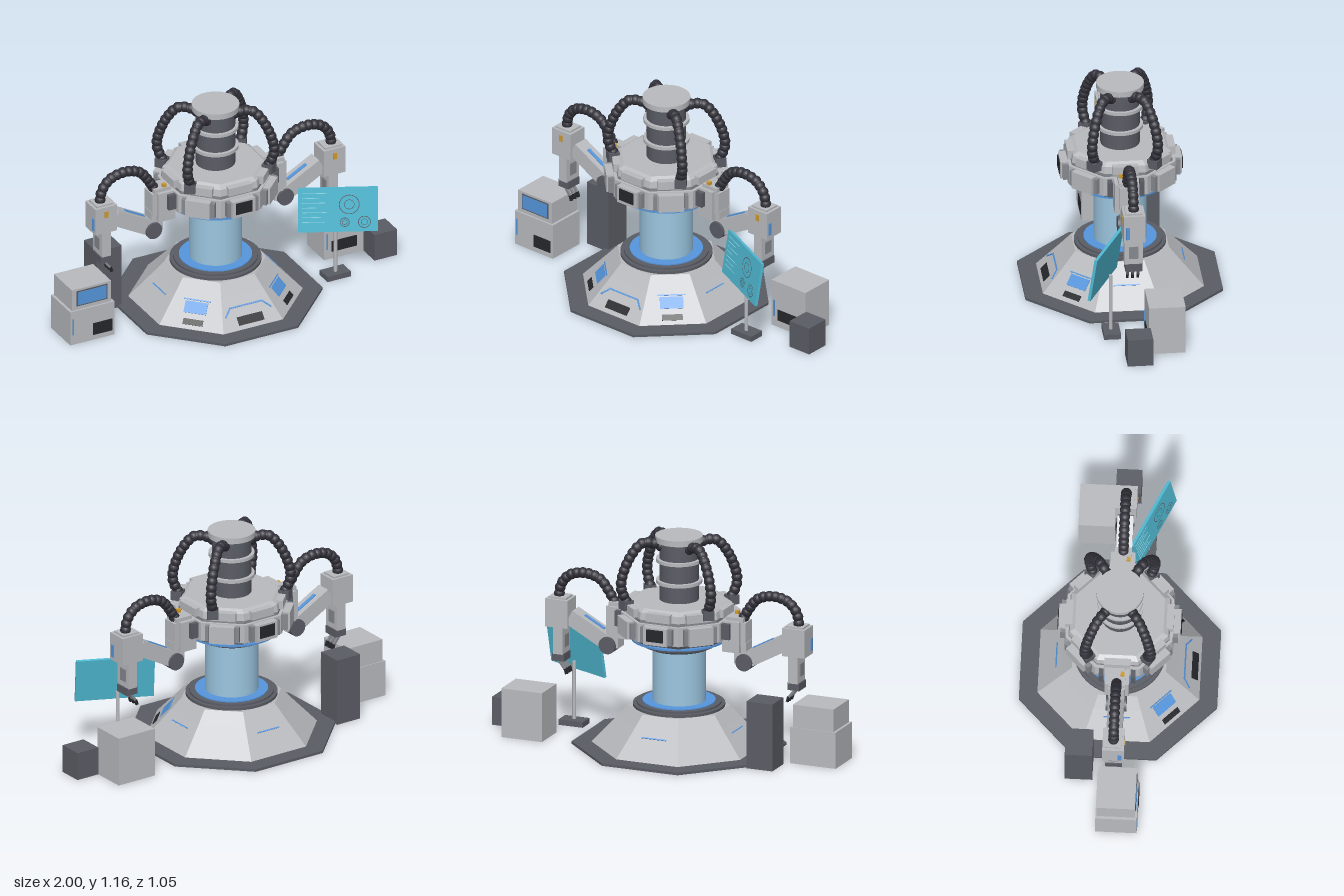
import * as THREE from 'three';

const paint = (name, color) => new THREE.MeshStandardMaterial({ name, color });

export function createModel() {
  const light = paint('light grey', 0xb8babe), mid = paint('mid grey', 0x85888e);
  const dark = paint('dark grey', 0x5a5c65), black = paint('black', 0x26272b);
  const rubber = paint('hose rubber', 0x33323b), blue = paint('blue', 0x5595dc);
  const glass = paint('pale blue', 0x9cc6e0), teal = paint('screen teal', 0x50bad4);
  const amber = paint('amber', 0xd09a28), pale = paint('screen lines', 0x8fdcea);

  const root = new THREE.Group();
  root.name = 'workshop';
  const add = (parent, name, geo, mat, x = 0, y = 0, z = 0, rx = 0, ry = 0, rz = 0) => {
    const m = new THREE.Mesh(geo, mat);
    m.name = name;
    m.position.set(x, y, z);
    m.rotation.set(rx, ry, rz);
    parent.add(m);
    return m;
  };
  const group = (parent, name, x = 0, y = 0, z = 0) => {
    const g = new THREE.Group();
    g.name = name;
    g.position.set(x, y, z);
    parent.add(g);
    return g;
  };
  const box = (w, h, d) => new THREE.BoxGeometry(w, h, d);
  // Box given by its limits
  const block = (parent, name, mat, x0, x1, y0, y1, z0, z1) =>
    add(parent, name, box(x1 - x0, y1 - y0, z1 - z0), mat, (x0 + x1) / 2, (y0 + y1) / 2, (z0 + z1) / 2);
  const round = (parent, name, mat, r0, r1, y0, y1) =>
    add(parent, name, new THREE.CylinderGeometry(r1, r0, y1 - y0, 48), mat, 0, (y0 + y1) / 2, 0);
  // Octagonal frustum sized by the distance to its flats
  const octagon = (parent, name, mat, a0, a1, y0, y1) => {
    const k = 1 / Math.cos(Math.PI / 8);
    const g = new THREE.CylinderGeometry(a1 * k, a0 * k, y1 - y0, 8).rotateY(Math.PI / 8).toNonIndexed();
    g.computeVertexNormals();
    return add(parent, name, g, mat, 0, (y0 + y1) / 2, 0);
  };
  // Ribbed hose through a few points
  const hose = (parent, name, pts) => {
    const g = group(parent, name);
    const curve = new THREE.CatmullRomCurve3(pts.map(p => new THREE.Vector3(...p)));
    add(g, 'hoseCore', new THREE.TubeGeometry(curve, 40, 0.024, 12), rubber);
    const n = Math.round(curve.getLength() / 0.036);
    const bead = new THREE.SphereGeometry(0.029, 14, 10);
    for (let i = 0; i <= n; i++) {
      const p = curve.getPointAt(i / n);
      add(g, 'hoseRib', bead, rubber, p.x, p.y, p.z);
    }
  };

  const machine = group(root, 'machine', -0.058);

  // Base
  octagon(machine, 'floorPlate', dark, 0.527, 0.527, 0, 0.014);
  octagon(machine, 'lowerBase', light, 0.43, 0.305, 0.014, 0.155);
  octagon(machine, 'upperBase', light, 0.305, 0.25, 0.155, 0.22);
  round(machine, 'baseRing', dark, 0.245, 0.245, 0.215, 0.235);
  round(machine, 'baseRingUpper', dark, 0.225, 0.225, 0.235, 0.246);
  round(machine, 'baseGlow', blue, 0.195, 0.195, 0.24, 0.252);

  // Panels lying on the sloping base faces
  const tilt = Math.atan2(0.125, 0.141);
  const slopeFace = (i) => {
    const g = group(machine, 'basePanels');
    g.rotation.y = i * Math.PI / 4;
    return (name, mat, w, y0, y1, x = 0, turn = 0) => {
      const y = (y0 + y1) / 2;
      const holder = group(g, name + 'Mount', x, y, 0.43 - (y - 0.014) * 0.887);
      holder.rotation.x = -tilt;
      add(holder, name, box(w, (y1 - y0) * 1.34, 0.008), mat, 0, 0, 0, 0, 0, turn);
    };
  };
  const front = slopeFace(0);
  front('baseVent', black, 0.15, 0.032, 0.067);
  front('frontTrim', blue, 0.2, 0.106, 0.112);
  for (const s of [-1, 1]) {
    front('frontTrimEnd', blue, 0.055, 0.088, 0.094, s * 0.118, -s * 0.8);
    const side = slopeFace(s);
    side('baseVent', black, 0.11, 0.032, 0.056);
    side('baseDisplay', blue, 0.125, 0.08, 0.128);
    side('baseTrim', blue, 0.15, 0.133, 0.138);
  }
  for (const i of [2, 4, 6]) slopeFace(i)('baseTrim', blue, 0.14, 0.118, 0.123);

  // Glowing column
  round(machine, 'glassColumn', glass, 0.142, 0.142, 0.25, 0.56);

  // Head
  round(machine, 'headNeck', dark, 0.17, 0.2, 0.548, 0.562);
  round(machine, 'headNeckUpper', dark, 0.2, 0.205, 0.562, 0.592);
  round(machine, 'headGlow', blue, 0.255, 0.255, 0.59, 0.6);
  octagon(machine, 'headUnderside', mid, 0.23, 0.29, 0.6, 0.632);
  octagon(machine, 'headDrum', light, 0.285, 0.285, 0.632, 0.735);
  octagon(machine, 'headBand', mid, 0.268, 0.268, 0.735, 0.752);
  octagon(machine, 'headUpper', light, 0.268, 0.262, 0.752, 0.79);
  octagon(machine, 'headRoof', light, 0.262, 0.235, 0.79, 0.808);
  for (let i = 0; i < 8; i++) {
    const g = group(machine, 'headSide');
    g.rotation.y = i * Math.PI / 4;
    block(g, 'rimClamp', light, -0.07, 0.07, 0.752, 0.798, 0.25, 0.288);
    if (i % 4 !== 2) {
      block(g, 'sidePanel', light, -0.068, 0.068, 0.635, 0.732, 0.27, 0.325);
      for (const s of [-1, 1]) block(g, 'panelRail', mid, s * 0.082 - 0.01, s * 0.082 + 0.01, 0.64, 0.727, 0.27, 0.313);
    }
    if (i % 4 === 0) block(g, 'headWindow', black, -0.048, 0.048, 0.655, 0.722, 0.322, 0.33);
  }

  // Chimney column
  round(machine, 'chimney', dark, 0.105, 0.105, 0.8, 1.135);
  for (const y of [0.9, 1.018]) round(machine, 'chimneyRing', light, 0.123, 0.123, y, y + 0.018);
  round(machine, 'chimneyCap', light, 0.127, 0.127, 1.13, 1.162);

  // Hoses from the chimney down to the head
  for (const sx of [-1, 1]) for (const sz of [-1, 1]) {
    const at = (d, y) => [sx * d * 0.83, y, sz * d * 0.56];
    hose(machine, 'chimneyHose', [at(0.1, 1.105), at(0.14, 1.125), at(0.2, 1.125), at(0.265, 1.05),
      at(0.31, 0.93), at(0.31, 0.87), at(0.285, 0.81)]);
    const [x, y, z] = at(0.285, 0.79);
    add(machine, 'hoseSocket', box(0.06, 0.05, 0.06), dark, x, y, z, 0, sx * sz * 0.6);
  }

  // Arms
  for (const s of [-1, 1]) {
    const arm = group(machine, s > 0 ? 'leftArm' : 'rightArm');
    const part = (name, mat, w, h, d, x, y, z = 0, rz = 0) =>
      add(arm, name, box(w, h, d), mat, s * x, y, z, 0, 0, s * rz);
    part('shoulder', light, 0.1, 0.17, 0.13, 0.325, 0.65);
    part('shoulderPlate', light, 0.035, 0.13, 0.09, 0.385, 0.665);
    for (const z of [-0.085, 0.085]) part('shoulderRail', dark, 0.06, 0.085, 0.025, 0.3, 0.685, z);
    part('shoulderTop', light, 0.1, 0.03, 0.09, 0.34, 0.74);
    part('shoulderLamp', amber, 0.02, 0.035, 0.02, 0.325, 0.755, 0.03);
    part('shoulderLink', light, 0.07, 0.12, 0.08, 0.37, 0.56);
    add(arm, 'elbow', new THREE.CylinderGeometry(0.047, 0.047, 0.11, 24), dark, s * 0.395, 0.513, 0, Math.PI / 2);
    part('upperArm', light, 0.25, 0.085, 0.085, 0.51, 0.582, 0, 0.5);
    part('upperArmTrim', blue, 0.13, 0.008, 0.02, 0.487, 0.619, 0, 0.5);
    part('wristHousing', light, 0.13, 0.155, 0.116, 0.685, 0.657);
    part('wristCap', light, 0.1, 0.015, 0.09, 0.685, 0.737);
    part('wristLamp', amber, 0.02, 0.036, 0.008, 0.685, 0.692, 0.059);
    part('wristTrim', blue, 0.008, 0.07, 0.02, 0.751, 0.635, 0.035);
    part('forearm', light, 0.055, 0.16, 0.1, 0.68, 0.51);
    part('forearmGuard', mid, 0.063, 0.07, 0.05, 0.68, 0.5);
    part('clawBase', dark, 0.068, 0.042, 0.09, 0.68, 0.412);
    for (const z of [-0.028, 0, 0.028]) {
      part('clawFinger', mid, 0.013, 0.06, 0.013, 0.665, 0.37, z, -0.65);
      part('clawTip', black, 0.014, 0.03, 0.014, 0.642, 0.335, z, -0.3);
    }
    hose(arm, 'armHose', [[s * 0.375, 0.75, 0], [s * 0.405, 0.8, 0], [s * 0.455, 0.86, 0], [s * 0.54, 0.885, 0],
      [s * 0.63, 0.865, 0], [s * 0.68, 0.81, 0], [s * 0.692, 0.755, 0]]);
  }

  // Tilted screen on a stand
  const stand = group(root, 'screenStand');
  block(stand, 'standFoot', dark, 0.53, 0.67, 0, 0.03, 0.07, 0.16);
  add(stand, 'standPole', new THREE.CylinderGeometry(0.01, 0.01, 0.32, 16), light, 0.6, 0.19, 0.118);
  const screen = group(stand, 'screen', 0.6, 0.417, 0.145);
  screen.rotation.set(-0.157, -0.441, 0, 'YXZ');
  add(screen, 'screenPanel', box(0.425, 0.248, 0.016), teal);
  const lengths = [0.13, 0.09, 0.12, 0.07, 0.13, 0.1, 0.12];
  lengths.forEach((w, i) => add(screen, 'screenLine', box(w, 0.003, 0.003), pale, -0.19 + w / 2, 0.095 - i * 0.027, 0.0085));
  for (const [x, y, r] of [[0.06, 0.03, 0.055], [0.14, -0.07, 0.034], [0.035, -0.07, 0.026]]) {
    add(screen, 'screenDial', new THREE.RingGeometry(r - 0.004, r, 32), dark, x, y, 0.0095);
    add(screen, 'screenDialCore', new THREE.RingGeometry(r * 0.45, r * 0.45 + 0.003, 24), dark, x, y, 0.0095);
  }

  // Cabinets around the machine
  block(root, 'tallCabinet', dark, -0.71, -0.56, 0, 0.37, -0.262, -0.115);
  block(root, 'smallCrate', dark, 0.86, 0.995, 0, 0.155, -0.068, 0.068);
  block(root, 'largeCabinet', light, 0.625, 0.86, 0, 0.27, -0.255, -0.06);
  block(root, 'cabinetVent', black, 0.67, 0.82, 0.042, 0.105, -0.062, -0.055);
  block(root, 'cabinetTrim', blue, 0.64, 0.647, 0.06, 0.155, -0.062, -0.055);
  block(root, 'consoleBase', light, -1, -0.735, 0, 0.2, -0.085, 0.135);
  block(root, 'consoleTop', light, -0.985, -0.75, 0.2, 0.325, -0.08, 0.125);
  block(root, 'consoleFrame', dark, -0.957, -0.773, 0.222, 0.313, 0.122, 0.128);
  block(root, 'consoleScreen', blue, -0.95, -0.78, 0.229, 0.306, 0.125, 0.131);
  block(root, 'consoleVent', black, -0.865, -0.75, 0.03, 0.1, 0.132, 0.139);
  block(root, 'consoleTrim', blue, -0.987, -0.98, 0.06, 0.155, 0.132, 0.139);

  return root;
}
